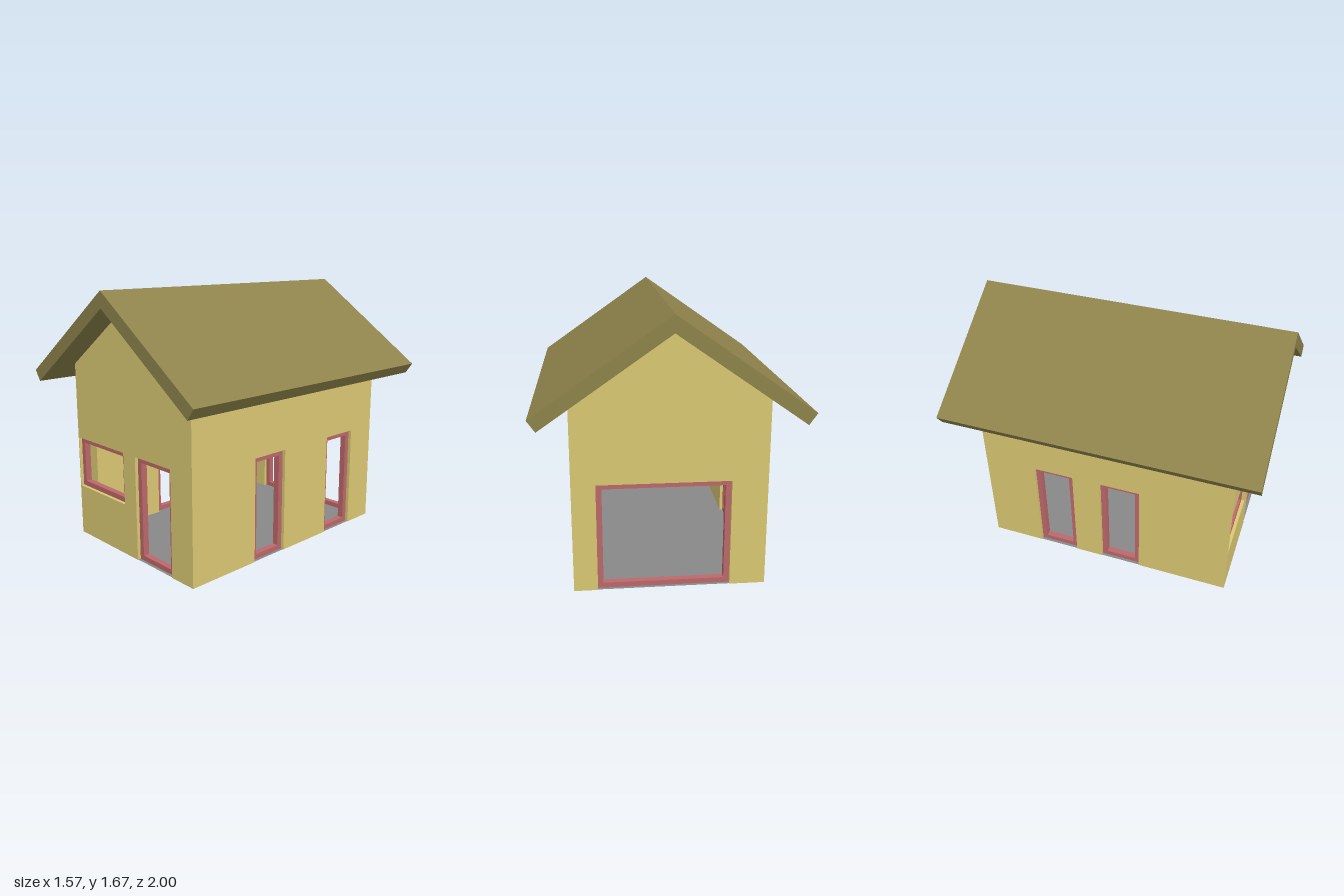
import * as THREE from 'three';

const HX = 0.575, HZ = 0.833, T = 0.083; // half width, half depth, wall thickness
const SLOPE = 0.7, APEX = 1.567;         // roof pitch, underside of the ridge
const HEAD = 0.67;                       // top of all openings
const FRAME_W = 0.034, FRAME_D = 0.04;

const roofUnderside = (x) => APEX - Math.abs(x) * SLOPE;
const paint = (color) => new THREE.MeshStandardMaterial({ color });
const wallMat = paint(0xdac873);
const roofMat = paint(0x8e834b);
const frameMat = paint(0xbc686a);
const floorMat = paint(0x888888);
floorMat.side = THREE.DoubleSide;

function addMesh(parent, name, geometry, material) {
  const mesh = new THREE.Mesh(geometry, material);
  mesh.name = name;
  parent.add(mesh);
  return mesh;
}

const points = (list) => list.map(([x, y]) => new THREE.Vector2(x, y));
const rect = (a, b, c, d) => points([[a, c], [b, c], [b, d], [a, d]]);
const extrude = (shape, depth) =>
  new THREE.ExtrudeGeometry(shape, { depth, bevelEnabled: false });

// Wall with its outer face at local z = 0. Openings [left, right, bottom]
// run left to right; those with bottom 0 become notches in the outline.
function makeWall(name, half, top, openings) {
  const wall = new THREE.Group();
  wall.name = name;
  const outline = [[-half, 0]];
  for (const [a, b, bottom] of openings) {
    if (bottom === 0) outline.push([a, 0], [a, HEAD], [b, HEAD], [b, 0]);
  }
  outline.push([half, 0], ...top);
  const shape = new THREE.Shape(points(outline));
  for (const [a, b, bottom] of openings) {
    if (bottom > 0) shape.holes.push(new THREE.Path(rect(a, b, bottom, HEAD)));
  }
  addMesh(wall, name + 'Panel', extrude(shape, T).translate(0, 0, -T), wallMat);

  // Frames sit in the middle of the wall thickness
  openings.forEach(([a, b, bottom]) => {
    const ring = new THREE.Shape(rect(a, b, bottom, HEAD));
    const w = FRAME_W;
    ring.holes.push(new THREE.Path(rect(a + w, b - w, bottom + w, HEAD - w)));
    const geometry = extrude(ring, FRAME_D).translate(0, 0, -(T + FRAME_D) / 2);
    addMesh(wall, bottom > 0 ? 'windowFrame' : 'doorFrame', geometry, frameMat);
  });
  return wall;
}

// Side wall between the gables, its top bevelled to meet the roof
function makeSideWall(name, openings) {
  const half = HZ - T, height = roofUnderside(HX);
  const wall = makeWall(name, half, [[half, height], [-half, height]], openings);
  const geometry = wall.children[0].geometry;
  const pos = geometry.attributes.position;
  for (let i = 0; i < pos.count; i++) {
    if (pos.getY(i) > HEAD + 0.1 && pos.getZ(i) < -T / 2) pos.setY(i, roofUnderside(HX - T));
  }
  geometry.computeVertexNormals();
  return wall;
}

export function createModel() {
  const house = new THREE.Group();
  house.name = 'house';

  // Gable walls
  const gable = [[HX, roofUnderside(HX)], [0, APEX], [-HX, roofUnderside(HX)]];
  const front = makeWall('frontWall', HX, gable, [[-0.57, -0.07, 0.335], [0.05, 0.385, 0]]);
  front.position.z = HZ;
  const back = makeWall('backWall', HX, gable, [[-0.433, 0.36, 0]]);
  back.position.z = -HZ;
  back.rotation.y = Math.PI;

  // Side walls, each with two tall openings
  const left = makeSideWall('leftWall', [[-0.33, -0.063, 0], [0.35, 0.617, 0]]);
  left.position.x = HX;
  left.rotation.y = Math.PI / 2;
  const right = makeSideWall('rightWall', [[-0.485, -0.217, 0], [-0.03, 0.238, 0]]);
  right.position.x = -HX;
  right.rotation.y = -Math.PI / 2;
  house.add(front, back, left, right);

  // Pitched roof with square-cut eaves
  const roof = new THREE.Shape(points([
    [0, 1.667], [-0.787, 1.117], [-0.74, 1.05], [0, APEX], [0.74, 1.05], [0.787, 1.117],
  ]));
  addMesh(house, 'roof', extrude(roof, 2).translate(0, 0, -1), roofMat);

  // Thin floor reaching into the openings
  const floor = addMesh(house, 'floor', new THREE.PlaneGeometry(2 * HX - 0.004, 2 * HZ - 0.004), floorMat);
  floor.rotation.x = -Math.PI / 2;
  floor.position.y = 0.002;

  return house;
}
